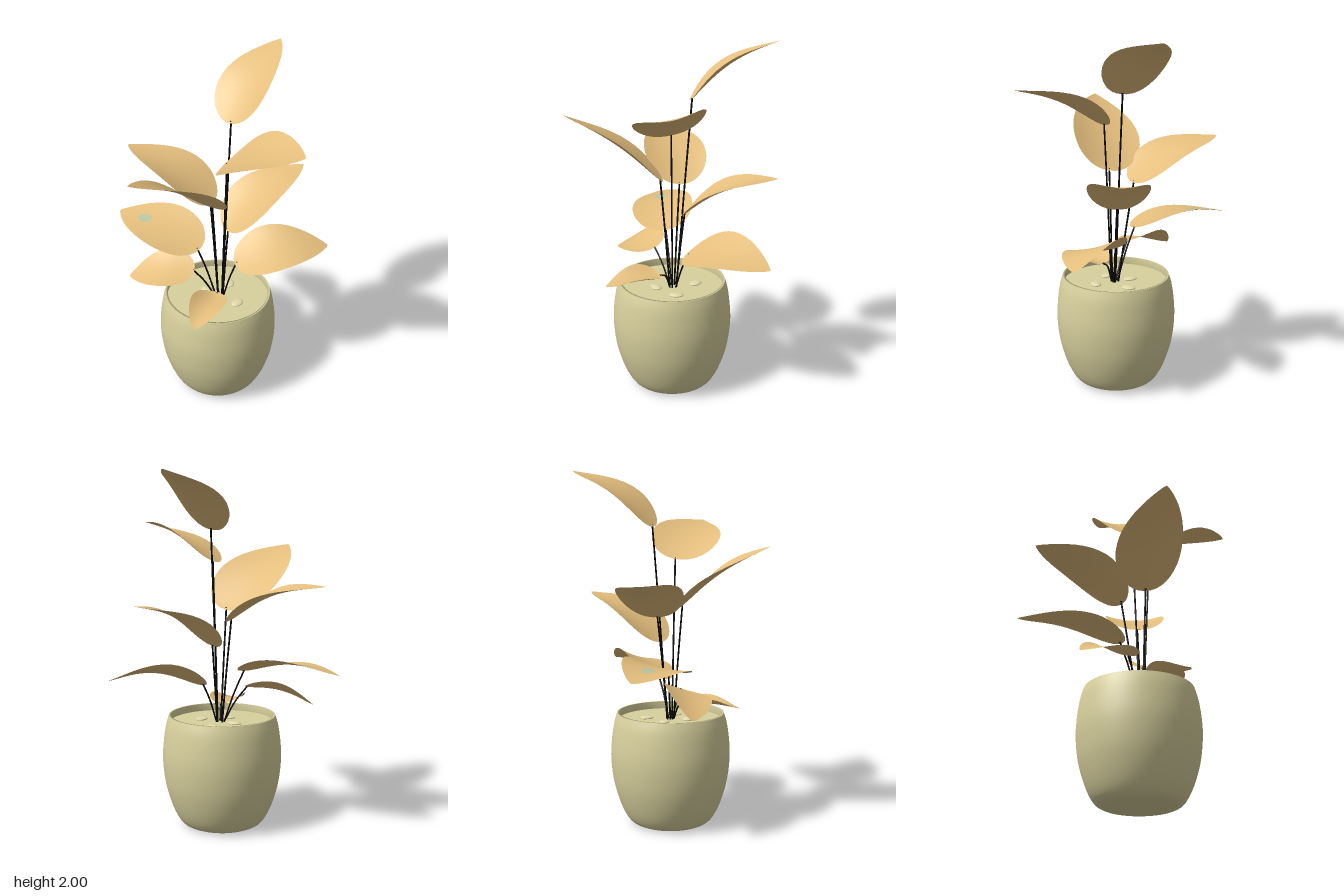
import * as THREE from 'three';

const V = (a) => new THREE.Vector3(...a);

// Each leaf: base, tip, upward normal, full width, arch height, cupping
const LEAVES = [
  { name: 'topLeaf', b: [0.06, 1.69, -0.06], t: [0.28, 2.0, -0.49], n: [-0.39, 0.82, 0.42], w: 0.335, arch: 0.055, cup: 0.03 },
  { name: 'upperFrontLeftLeaf', b: [0.05, 1.51, 0.05], t: [0.48, 1.725, 0.32], n: [-0.42, 0.9, -0.03], w: 0.39, arch: 0.045, cup: 0.03 },
  { name: 'upperFrontRightLeaf', b: [0.0, 1.24, 0.07], t: [-0.37, 1.59, 0.48], n: [0.2, 0.75, -0.55], w: 0.4, arch: 0.04, cup: 0.03 },
  { name: 'middleRightLeaf', b: [-0.03, 1.19, -0.06], t: [-0.55, 1.4, -0.28], n: [0.38, 0.92, 0.08], w: 0.36, arch: 0.06, cup: 0.03 },
  { name: 'middleLeftLeaf', b: [0.05, 1.04, -0.02], t: [0.45, 1.3, -0.37], n: [-0.35, 0.85, 0.27], w: 0.345, arch: 0.06, cup: 0.03 },
  { name: 'lowerRightLeaf', b: [-0.1, 0.9, -0.01], t: [-0.63, 0.93, -0.31], n: [0.05, 0.96, 0.22], w: 0.36, arch: 0.055, cup: 0.02 },
  { name: 'lowerLeftLeaf', b: [0.1, 0.82, -0.02], t: [0.625, 0.87, -0.2], n: [-0.1, 0.9, 0.35], w: 0.335, arch: 0.07, cup: 0.02 },
  { name: 'lowestRightLeaf', b: [-0.12, 0.8, 0.05], t: [-0.51, 0.7, 0.03], n: [-0.25, 0.9, 0.3], w: 0.27, arch: 0.04, cup: 0.02 },
  { name: 'lowestFrontLeaf', b: [0.02, 0.69, 0.1], t: [-0.07, 0.66, 0.41], n: [0, 0.98, 0.15], w: 0.2, arch: 0.025, cup: 0.04 },
];

// Returns a function giving the point at length t (0..1) and side s (-1..1)
function leafSurface({ b, t, n, w, arch, cup }) {
  const base = V(b);
  const dir = V(t).sub(base);
  const unit = dir.clone().normalize();
  const up = V(n).addScaledVector(unit, -V(n).dot(unit)).normalize();
  const side = up.clone().cross(unit);
  const peak = Math.sqrt(0.37) * Math.pow(0.63, 0.85);
  return (u, s) => {
    const half = Math.sqrt(u) * Math.pow(1 - u, 0.85) / peak;
    const x = s * half;
    return base.clone().addScaledVector(dir, u)
      .addScaledVector(side, x * w / 2)
      .addScaledVector(up, arch * Math.sin(Math.PI * u) + cup * (x * x - 0.4 * half));
  };
}

// Grid of nu x nv cells sampled from a function of (u, v) in 0..1
function gridGeometry(fn, nu, nv) {
  const pos = [], idx = [];
  for (let i = 0; i <= nu; i++) {
    for (let j = 0; j <= nv; j++) {
      pos.push(...fn(i / nu, j / nv).toArray());
      if (i < nu && j < nv) {
        const a = i * (nv + 1) + j, c = a + nv + 1;
        idx.push(a, c, a + 1, a + 1, c, c + 1);
      }
    }
  }
  const g = new THREE.BufferGeometry();
  g.setAttribute('position', new THREE.Float32BufferAttribute(pos, 3));
  g.setIndex(idx);
  g.computeVertexNormals();
  return g;
}

export function createModel() {
  const model = new THREE.Group();
  const material = (name, color) => {
    const m = new THREE.MeshStandardMaterial({ color, side: THREE.DoubleSide });
    m.name = name;
    return m;
  };
  const leafMat = material('tan leaf', 0xe4be7d);
  const potMat = material('cream clay', 0xd8d09d);
  const stemMat = material('black stem', 0x060606);
  const pebbleMat = material('pale pebble', 0xe2daac);
  const spotMat = material('grey green spot', 0xbcc49e);
  const add = (name, geometry, mat, parent = model) => {
    const mesh = new THREE.Mesh(geometry, mat);
    mesh.name = name;
    parent.add(mesh);
    return mesh;
  };

  // Rounded pot with a thin rim, and the soil inside
  const profile = new THREE.SplineCurve([
    [0.2, 0], [0.235, 0.02], [0.27, 0.075], [0.303, 0.16], [0.328, 0.26],
    [0.34, 0.38], [0.336, 0.48], [0.322, 0.58], [0.305, 0.64],
  ].map((p) => new THREE.Vector2(...p))).getPoints(28);
  const pot = new THREE.Group();
  pot.name = 'pot';
  pot.position.set(0.01, 0, 0.02);
  model.add(pot);
  add('potWall', new THREE.LatheGeometry(profile, 48), potMat, pot);
  add('potBase', new THREE.CircleGeometry(0.2, 48).rotateX(Math.PI / 2), potMat, pot);
  const rim = [[0.305, 0.64], [0.292, 0.64], [0.3, 0.58]].map((p) => new THREE.Vector2(...p));
  add('potRim', new THREE.LatheGeometry(rim, 48), potMat, pot);
  add('soil', new THREE.CircleGeometry(0.298, 48).rotateX(-Math.PI / 2), potMat, pot).position.y = 0.597;

  // Flat pebbles on the soil
  [[-0.03, 0.09], [0.12, 0.05], [0.05, -0.13], [-0.07, -0.05]].forEach(([x, z], i) => {
    const pebble = add('pebble', new THREE.SphereGeometry(0.042, 14, 8), pebbleMat, pot);
    pebble.scale.set(1, 0.22, 0.7);
    pebble.rotation.y = i * 0.9;
    pebble.position.set(x, 0.6, z);
  });

  // Leaves, each on a slender curved stem
  LEAVES.forEach((leaf, i) => {
    const surface = leafSurface(leaf);
    // Rows are denser toward the rounded base and the pointed tip
    const row = (u) => Math.sin(u * Math.PI / 2) ** 2;
    add(leaf.name, gridGeometry((u, v) => surface(row(u), v * 2 - 1), 22, 8), leafMat);
    const end = surface(0.03, 0);
    const angle = Math.atan2(end.z, end.x);
    const root = new THREE.Vector3(0.02 + 0.02 * Math.cos(angle), 0.59, 0.02 + 0.02 * Math.sin(angle));
    const bend = root.clone().lerp(end, 0.5);
    bend.y += i === 8 ? 0.04 : 0.02;
    const path = new THREE.CatmullRomCurve3([root, bend, end]);
    add('stem', new THREE.TubeGeometry(path, 12, 0.005, 6), stemMat);
  });

  // Small faded patch on the lower right leaf
  const spotted = leafSurface(LEAVES[5]);
  const spot = (u, v) => {
    const a = v * Math.PI * 2;
    const p = spotted(0.66 + 0.08 * u * Math.cos(a), 0.05 + 0.25 * u * Math.sin(a));
    p.y += 0.004;
    return p;
  };
  add('leafSpot', gridGeometry(spot, 2, 14), spotMat);

  return model;
}
